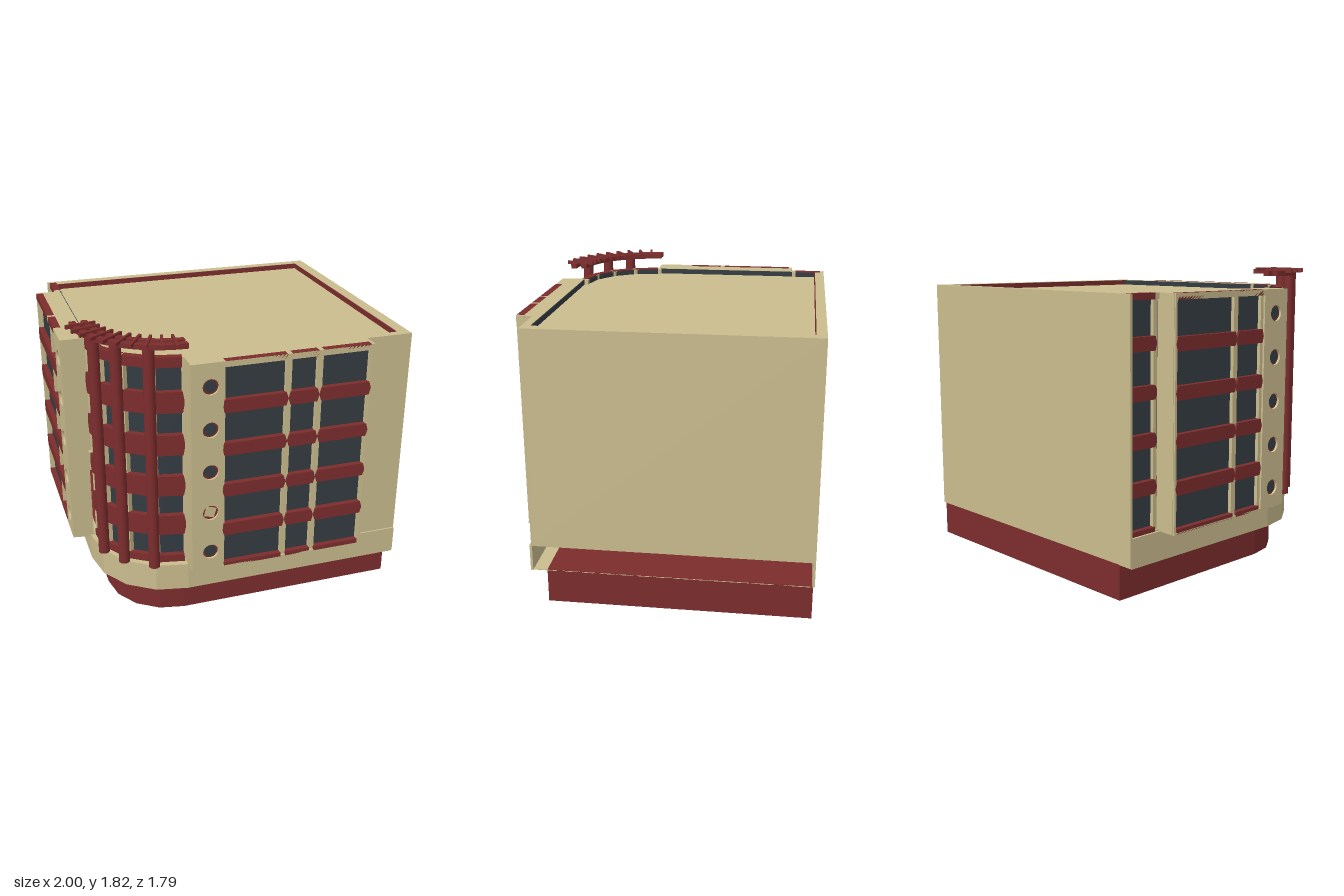
import * as THREE from 'three';

const mat = (color) => new THREE.MeshStandardMaterial({ color, side: THREE.DoubleSide });
const TAN = mat(0xcbbd8f), RED = mat(0x7d2d2d), GLASS = mat(0x343c42);
const CX = -0.39, CZ = 0.29;            // centre of the rounded corner
const BASE = 0.215, FLOOR = 0.38, TOP = 1.71;
const LEVELS = [0.64, 0.904, 1.17, 1.438]; // spandrel heights

function add(parent, name, geometry, material) {
  const m = new THREE.Mesh(geometry, material);
  m.name = name;
  parent.add(m);
  return m;
}

// Box given by its minimum and maximum corners
function box(parent, name, material, [x0, y0, z0], [x1, y1, z1]) {
  const g = new THREE.BoxGeometry(x1 - x0, y1 - y0, z1 - z0);
  g.translate((x0 + x1) / 2, (y0 + y1) / 2, (z0 + z1) / 2);
  return add(parent, name, g, material);
}

const toShape = (pts) => new THREE.Shape(pts.map(([x, z]) => new THREE.Vector2(x, z)));

// Horizontal plate from plan points (x, z), with an optional hole
function plate(parent, name, material, pts, y0, y1, hole) {
  const s = toShape(pts);
  if (hole) s.holes.push(toShape(hole));
  const g = new THREE.ExtrudeGeometry(s, { depth: y1 - y0, bevelEnabled: false });
  g.rotateX(Math.PI / 2).translate(0, y1, 0);
  return add(parent, name, g, material);
}

// Arc of plan points from the front round to the right-hand side of the viewer's left
function arc(rx, rz, steps, a0 = 90, a1 = 0, cx = CX, cz = CZ) {
  const pts = [];
  for (let i = 0; i <= steps; i++) {
    const a = THREE.MathUtils.degToRad(a0 + (a1 - a0) * i / steps);
    pts.push([cx - rx * Math.cos(a), cz + rz * Math.sin(a)]);
  }
  return pts;
}

// Rectangle with one faceted corner
const outline = (x0, x1, z0, z1) =>
  [[x1, z0], [x1, z1], ...arc(CX - x0, z1 - CZ, 4), [x0, z0]];

// Wall following the front and curved side of an outline
function wall(parent, name, material, x0, x1, z0, z1, t, y0, y1) {
  const outer = outline(x0, x1, z0, z1).slice(1);
  const inner = outline(x0 + t, x1, z0, z1 - t).slice(1).reverse();
  return plate(parent, name, material, [...outer, ...inner], y0, y1);
}

// Spandrel: panel with pointed ends
function spandrel(parent, u0, u1, y0, y1, w) {
  const c = 0.012, m = (y0 + y1) / 2;
  const s = toShape([[u0 + c, y0], [u1 - c, y0], [u1, m], [u1 - c, y1], [u0 + c, y1], [u0, m]]);
  const g = new THREE.ExtrudeGeometry(s, { depth: 0.05, bevelEnabled: false });
  g.translate(0, 0, w - 0.045);
  add(parent, 'spandrel', g, RED);
}

// Stack of windows between u0 and u1 on the local plane z = w
function windowStack(parent, u0, u1, w, half) {
  box(parent, 'glass', GLASS, [u0, FLOOR, w - 0.045], [u1, TOP - 0.005, w - 0.03]);
  for (const u of [u0, u1]) {
    box(parent, 'mullion', TAN, [u - 0.013, FLOOR, w - 0.05], [u + 0.013, TOP - 0.002, w - 0.008]);
  }
  for (const y of LEVELS) spandrel(parent, u0 - 0.003, u1 + 0.003, y - half, y + half, w);
  const e = half - 0.005;
  box(parent, 'topSpandrel', RED, [u0 + 0.01, TOP - e, w - 0.04], [u1 - 0.01, TOP + 0.001, w + 0.004]);
  box(parent, 'bottomSpandrel', RED, [u0 + 0.01, FLOOR, w - 0.04], [u1 - 0.01, FLOOR + e * 0.8, w + 0.004]);
}

// Pier pierced by round windows
function porthole(parent, u0, u1, w, solidIndex) {
  const s = toShape([[u0, FLOOR], [u1, FLOOR], [u1, TOP], [u0, TOP]]);
  const u = (u0 + u1) / 2 + (solidIndex >= 0 ? 0.02 : 0);
  const ys = [0.503, 0.77, 1.037, 1.305, 1.567];
  for (const y of ys) s.holes.push(new THREE.Path().absarc(u, y, 0.048, 0, Math.PI * 2, true));
  const g = new THREE.ExtrudeGeometry(s, { depth: 0.13, bevelEnabled: false, curveSegments: 10 });
  add(parent, 'portholePier', g.translate(0, 0, w - 0.13), TAN);
  ys.forEach((y, i) => {
    const rim = new THREE.CylinderGeometry(0.048, 0.048, 0.02, 20).rotateX(Math.PI / 2);
    add(parent, 'portholeRim', rim, RED).position.set(u, y, w - 0.025);
    const solid = i === solidIndex;
    const pane = new THREE.CylinderGeometry(0.037, 0.037, 0.02, solid ? 4 : 20).rotateX(Math.PI / 2);
    if (solid) pane.scale(1.2, 1.2, 1).rotateZ(0.5);
    add(parent, 'portholePane', pane, solid ? TAN : GLASS).position.set(u, y, w - 0.021);
  });
}

function createPergola() {
  const g = new THREE.Group();
  g.name = 'cornerPergola';
  const px = -0.38, pz = 0.27;
  for (const [x, z] of [[-0.845, 0.5], [-0.75, 0.645], [-0.59, 0.755]]) {
    const h = 1.79 - FLOOR;
    add(g, 'column', new THREE.CylinderGeometry(0.034, 0.034, h, 20), RED)
      .position.set(x, FLOOR + h / 2, z);
  }
  for (const r of [0.45, 0.52]) {
    const pts = [...arc(r + 0.037, r + 0.037, 20, 90, 0, px, pz), ...arc(r, r, 20, 0, 90, px, pz)];
    plate(g, 'curvedRail', RED, pts, 1.782, 1.812);
  }
  for (let i = 0; i < 10; i++) {
    const a = THREE.MathUtils.degToRad(9 + i * 8.2);
    const slat = add(g, 'slat', new THREE.BoxGeometry(0.18, 0.022, 0.016), RED);
    slat.position.set(px - 0.51 * Math.cos(a), 1.812, pz + 0.51 * Math.sin(a));
    slat.rotation.y = a + Math.PI;
  }
  return g;
}

export function createModel() {
  const model = new THREE.Group();
  model.name = 'building';

  // Base and podium, open along the +x side
  plate(model, 'base', RED, outline(-0.79, 0.99, -0.89, 0.70), 0, BASE);
  plate(model, 'podiumSoffit', TAN, outline(-0.89, 0.99, -0.89, 0.80), BASE - 0.008, BASE - 0.003);
  wall(model, 'podiumWall', TAN, -0.89, 1, -0.89, 0.80, 0.015, BASE - 0.005, FLOOR);

  // Plain walls
  box(model, 'sideWall', TAN, [0.985, FLOOR, -0.9], [1, TOP, 0.79]);
  box(model, 'backWall', TAN, [-0.89, BASE, -0.9], [1, TOP, -0.885]);
  box(model, 'frontPlainWall', TAN, [0.7, FLOOR, 0.77], [1, TOP, 0.79]);

  // Roof rim, ledge and sunken deck
  const rim = [[-1, 0.26], [-1, -0.67], [-0.875, -0.67], [-0.875, -0.9], [1, -0.9], [1, 0.79],
    [0.71, 0.79], [0.71, 0.89], [-0.36, 0.89], [-0.39, 0.86], ...arc(0.47, 0.47, 4), [-0.97, 0.29]];
  const deck = outline(-0.84, 0.93, -0.84, 0.74);
  plate(model, 'roofRim', TAN, rim, TOP - 0.035, TOP, deck);
  plate(model, 'facadeLedge', TAN, rim, FLOOR - 0.004, FLOOR + 0.008, deck);
  plate(model, 'podiumLedge', TAN, outline(-0.89, 1, -0.89, 0.80), FLOOR - 0.008, FLOOR, deck);
  plate(model, 'roofDeck', TAN, deck, TOP - 0.045, TOP - 0.035);
  wall(model, 'curvedDeckLip', GLASS, -0.84, 0.93, -0.84, 0.74, 0.005, TOP - 0.037, TOP - 0.002);
  box(model, 'backDeckLip', RED, [-0.84, TOP - 0.037, -0.84], [0.93, TOP - 0.002, -0.835]);
  box(model, 'sideDeckLip', RED, [0.925, TOP - 0.037, -0.84], [0.93, TOP - 0.002, 0.74]);

  // Front facade
  const front = new THREE.Group();
  front.name = 'frontFacade';
  porthole(front, -0.39, -0.2, 0.89, 1);
  for (const [a, b] of [[-0.2, 0.185], [0.195, 0.375], [0.385, 0.70]]) windowStack(front, a, b, 0.886, 0.04);
  box(front, 'bayEnd', TAN, [0.695, FLOOR, 0.77], [0.71, TOP, 0.888]);
  model.add(front);

  // Facade on the -x side; its local x runs along world z
  const side = new THREE.Group();
  side.name = 'sideFacade';
  side.rotation.y = -Math.PI / 2;
  porthole(side, 0.08, 0.29, 1, -1);
  for (const [a, b] of [[-0.66, -0.17], [-0.16, 0.07]]) windowStack(side, a, b, 0.996, 0.04);
  box(side, 'bayEnd', TAN, [-0.67, FLOOR, 0.86], [-0.655, TOP, 0.998]);
  windowStack(side, -0.885, -0.69, 0.872, 0.04);
  model.add(side);

  // Faceted corner glazing
  const step = Math.PI / 8, r = 0.47;
  for (let i = 0; i < 4; i++) {
    const facet = new THREE.Group();
    facet.name = 'cornerFacet';
    facet.position.set(CX, 0, CZ);
    facet.rotation.y = -(i + 0.5) * step;
    const hw = r * Math.sin(step / 2);
    windowStack(facet, -hw, hw, r * Math.cos(step / 2) - 0.003, 0.065);
    model.add(facet);
  }

  model.add(createPergola());
  return model;
}
